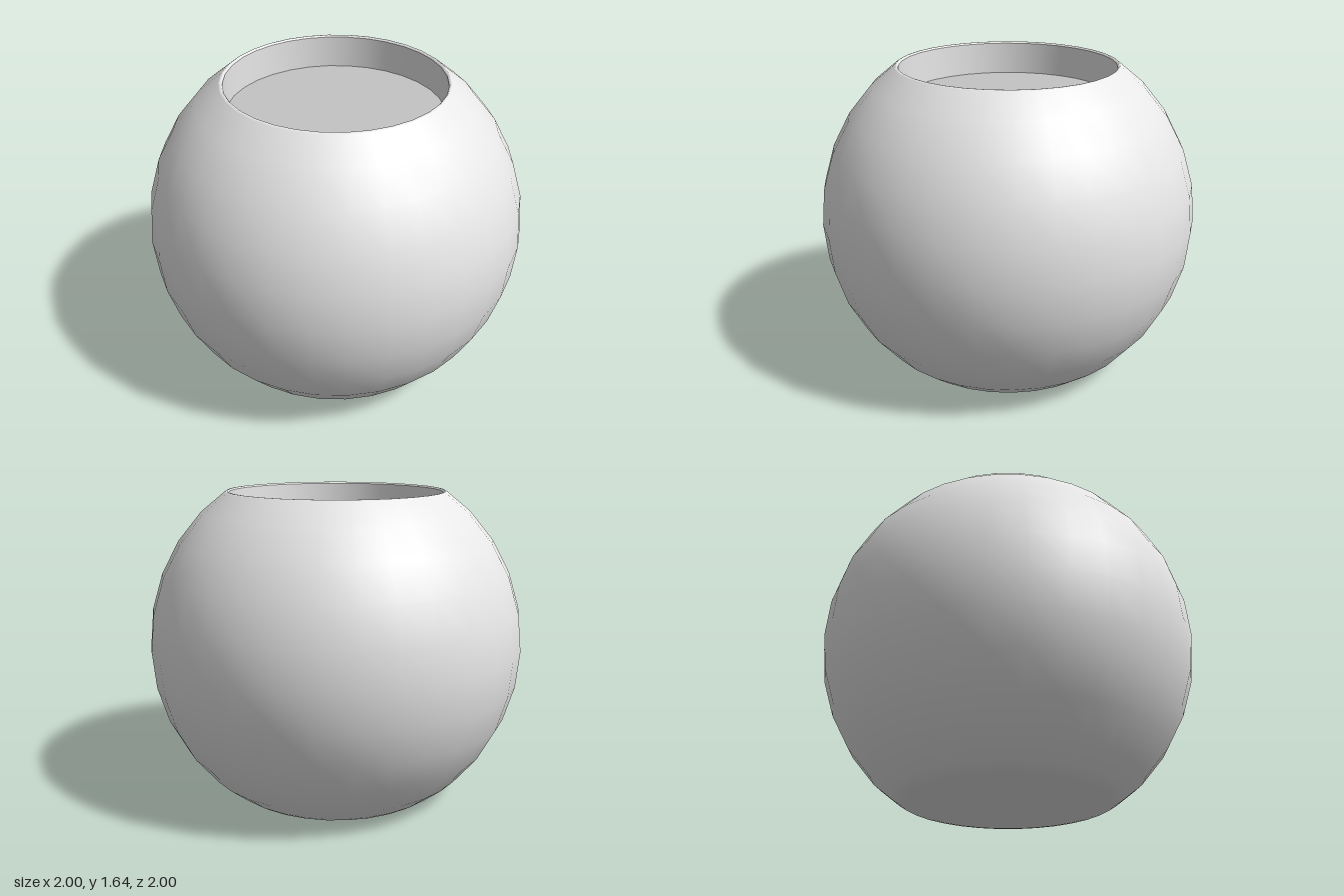
import * as THREE from 'three';

const SEGMENTS = 32;
const CENTER_Y = 0.827;

// Revolve a profile of [radius, height] pairs around the y axis
function revolve(name, profile, material) {
  const points = profile.map(([r, y]) => new THREE.Vector2(r, y));
  const mesh = new THREE.Mesh(new THREE.LatheGeometry(points, SEGMENTS), material);
  mesh.name = name;
  return mesh;
}

export function createModel() {
  const shellMaterial = new THREE.MeshStandardMaterial({ color: 0xe7e7e7 });
  shellMaterial.name = 'pale ceramic';
  const fillMaterial = new THREE.MeshStandardMaterial({ color: 0xc4c4c4 });
  fillMaterial.name = 'grey filling';

  const group = new THREE.Group();
  group.name = 'roundPot';

  // Globe body: flat base, softly rounded foot, then arcs up to the mouth
  const body = [[0, 0], [0.5, 0], [0.52, 0], [0.56, 0.008], [0.6, 0.034]];
  for (let i = -4; i <= 4; i++) {
    const a = (i * Math.PI) / 16;
    body.push([Math.cos(a), CENTER_Y + Math.sin(a)]);
  }
  body.push([0.585, 1.634]);
  group.add(revolve('body', body, shellMaterial));

  // Narrow rounded lip around the mouth
  group.add(revolve('lip', [[0.585, 1.634], [0.579, 1.638], [0.571, 1.638], [0.565, 1.63]], shellMaterial));

  // Straight inner wall down to the filling
  group.add(revolve('innerWall', [[0.565, 1.63], [0.563, 1.45]], shellMaterial));

  // Flat filling inside the mouth
  const filling = new THREE.Mesh(new THREE.CircleGeometry(0.565, SEGMENTS), fillMaterial);
  filling.name = 'filling';
  filling.rotation.x = -Math.PI / 2;
  filling.position.y = 1.46;
  group.add(filling);

  return group;
}
